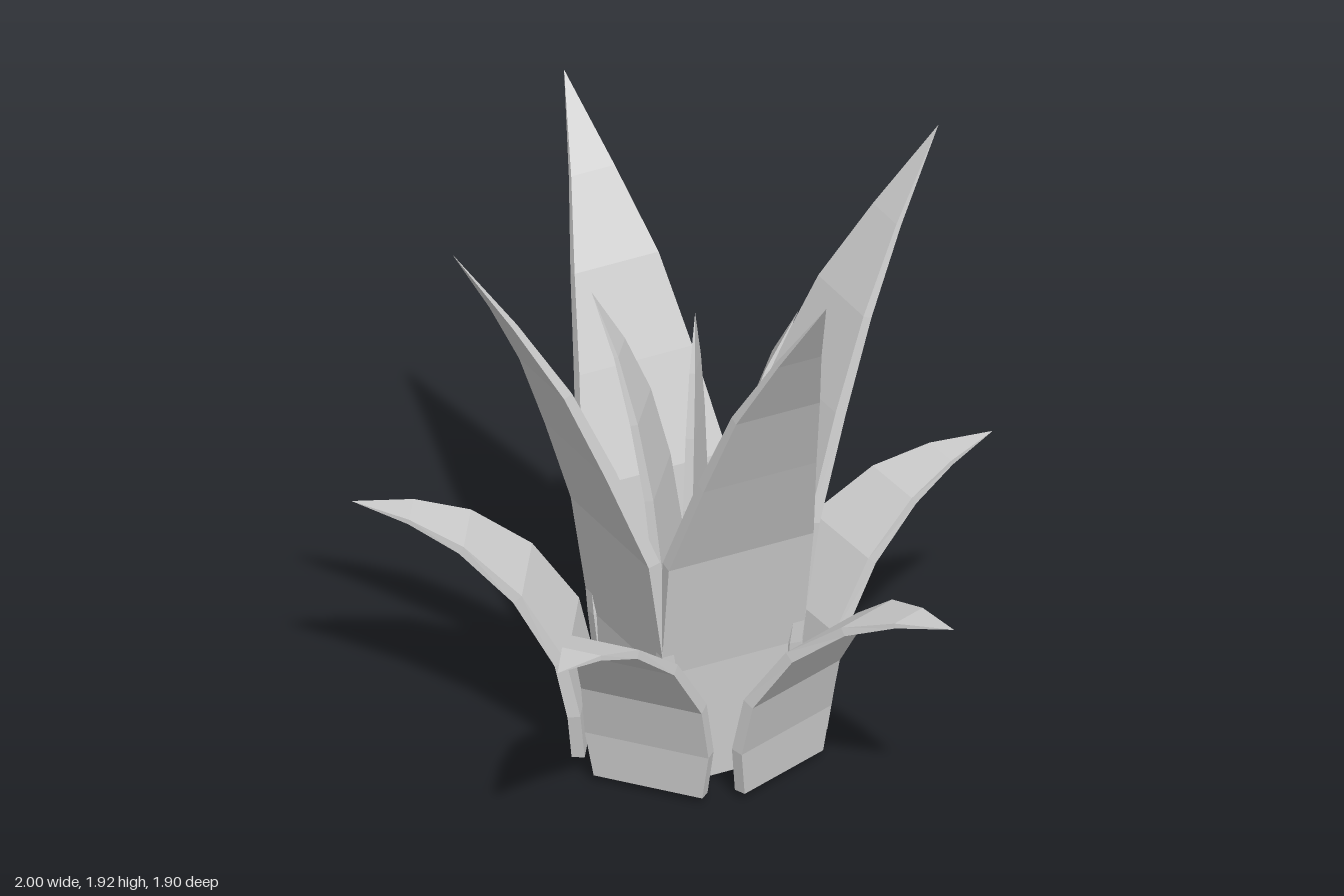
import * as THREE from 'three';

// One leaf blade: stations of [outward radius, height, half width, thickness],
// lofted as a four-sided slab that closes to a point at the tip.
function leafGeometry(stations) {
  const pos = [], index = [];
  const n = stations.length;
  stations.forEach(([r, y, w, t], i) => {
    const a = stations[Math.max(i - 1, 0)], b = stations[Math.min(i + 1, n - 1)];
    const dr = b[0] - a[0], dy = b[1] - a[1], len = Math.hypot(dr, dy);
    // inner face is offset square to the bend; the foot stays level
    const ri = i === 0 ? r - t : r - (dy / len) * t;
    const yi = i === 0 ? y : y + (dr / len) * t;
    pos.push(-w, y, r, w, y, r, w, yi, ri, -w, yi, ri);
  });
  for (let j = 0; j < n - 1; j++) {
    for (let k = 0; k < 4; k++) {
      const p = j * 4 + k, q = j * 4 + (k + 1) % 4;
      index.push(p, q, q + 4, p, q + 4, p + 4);
    }
  }
  index.push(0, 2, 1, 0, 3, 2); // foot
  const g = new THREE.BufferGeometry();
  g.setAttribute('position', new THREE.Float32BufferAttribute(pos, 3));
  g.setIndex(index);
  const flat = g.toNonIndexed();
  flat.computeVertexNormals();
  return flat;
}

export function createModel() {
  const model = new THREE.Group();
  model.name = 'leafCluster';
  const leafGrey = new THREE.MeshStandardMaterial({ color: 0xcccccc });
  leafGrey.name = 'leafGrey';
  leafGrey.flatShading = true;

  // Evenly spaced ring of identical leaves
  function ring(name, count, startDeg, stations) {
    const group = new THREE.Group();
    group.name = name + 'Ring';
    const geometry = leafGeometry(stations);
    for (let i = 0; i < count; i++) {
      const leaf = new THREE.Mesh(geometry, leafGrey);
      leaf.name = name;
      leaf.rotation.y = THREE.MathUtils.degToRad(startDeg) + (i / count) * Math.PI * 2;
      group.add(leaf);
    }
    group.position.z = -0.107;
    model.add(group);
  }

  // Low leaves that curl outward
  ring('outerLeaf', 5, 0, [
    [0.36, 0.02, 0.18, 0.04], [0.37, 0.17, 0.205, 0.04], [0.41, 0.345, 0.2, 0.04],
    [0.54, 0.54, 0.165, 0.036], [0.71, 0.675, 0.117, 0.028], [0.87, 0.74, 0.065, 0.016],
    [1.05, 0.775, 0, 0],
  ]);

  // Tall leaves standing in a square
  ring('tallLeaf', 4, 69.8, [
    [0.22, 0, 0.205, 0.04], [0.235, 0.4, 0.245, 0.04], [0.295, 0.8, 0.25, 0.04],
    [0.415, 1.12, 0.195, 0.038], [0.53, 1.4, 0.145, 0.03], [0.67, 1.65, 0.075, 0.018],
    [0.84, 1.92, 0, 0],
  ]);

  // Facing pair of inner leaves
  ring('innerLeaf', 2, 31.5, [
    [0.08, 0, 0.15, 0.03], [0.083, 0.3, 0.175, 0.03], [0.095, 0.62, 0.175, 0.03],
    [0.13, 0.9, 0.15, 0.028], [0.18, 1.14, 0.115, 0.024], [0.24, 1.34, 0.06, 0.014],
    [0.32, 1.53, 0, 0],
  ]);

  // Straight leaf in the middle
  ring('centreLeaf', 1, 33, [
    [0.015, 0, 0.15, 0.03], [0.015, 0.3, 0.175, 0.03], [0.015, 0.62, 0.175, 0.03],
    [0.015, 0.88, 0.15, 0.03], [0.013, 1.11, 0.11, 0.026], [0.009, 1.31, 0.06, 0.018],
    [0, 1.49, 0, 0],
  ]);

  return model;
}
